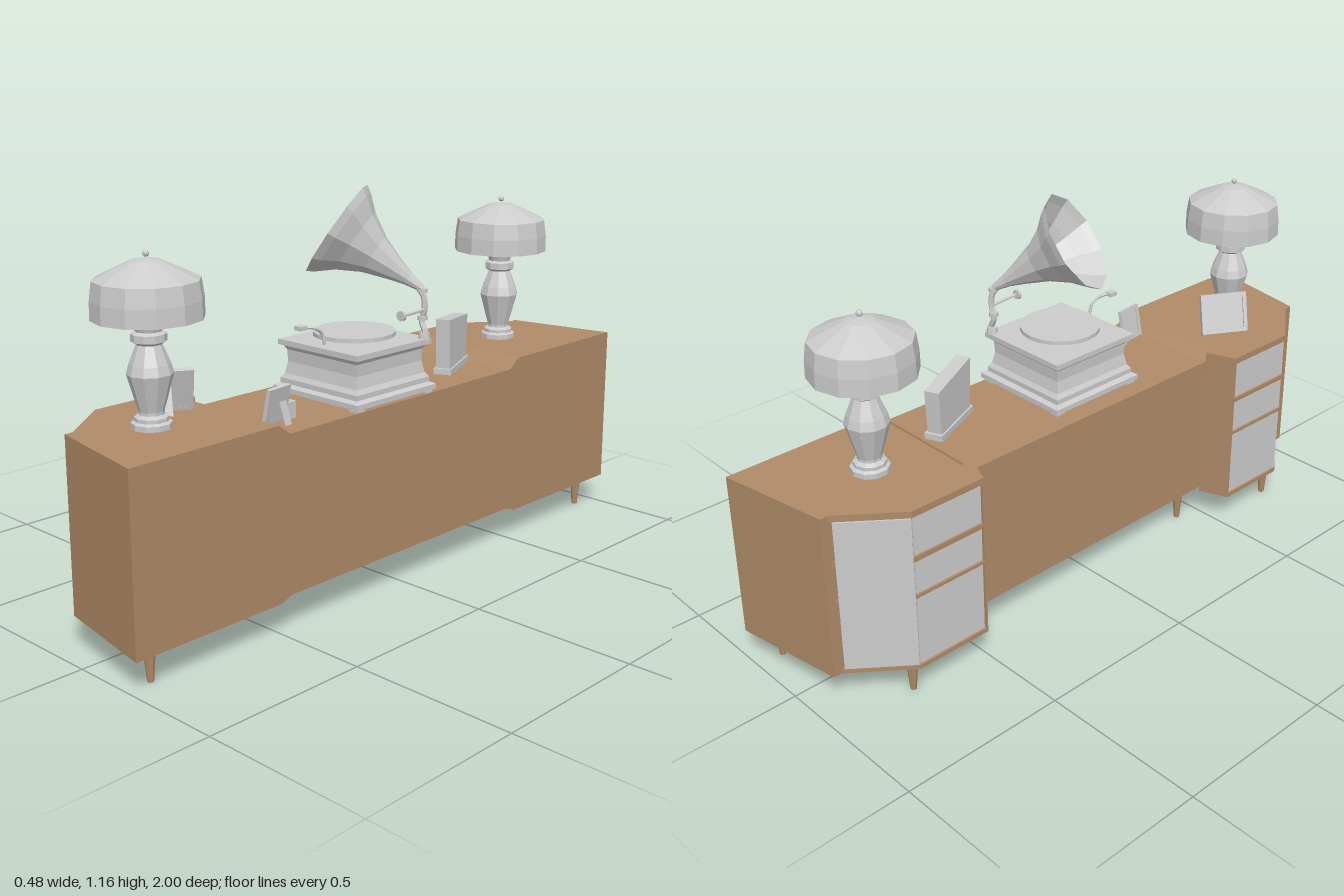
import * as THREE from 'three';

const wood = new THREE.MeshStandardMaterial({ color: 0xaf8b68, flatShading: true });
const grey = new THREE.MeshStandardMaterial({ color: 0xcccccc, flatShading: true, side: THREE.DoubleSide });

function add(parent, name, geometry, material, x = 0, y = 0, z = 0) {
  const mesh = new THREE.Mesh(geometry, material);
  mesh.name = name;
  mesh.position.set(x, y, z);
  parent.add(mesh);
  return mesh;
}

const lathe = (pts, sides, phi = 0) =>
  new THREE.LatheGeometry(pts.map(([r, y]) => new THREE.Vector2(r, y)), sides, phi);

function tube(pts, radius, segments = 12) {
  const curve = new THREE.CatmullRomCurve3(pts.map(p => new THREE.Vector3(...p)));
  return new THREE.TubeGeometry(curve, segments, radius, 6);
}

// Horizontal board: outline of [x, z] points raised from y0 to y1
function board(outline, y0, y1) {
  const shape = new THREE.Shape(outline.map(([x, z]) => new THREE.Vector2(x, -z)));
  const g = new THREE.ExtrudeGeometry(shape, { depth: y1 - y0, bevelEnabled: false });
  return g.rotateX(-Math.PI / 2).translate(0, y0, 0);
}

// Upright panel standing between two [x, z] points
function panel(parent, name, a, b, y0, y1, thick, mat) {
  const dx = b[0] - a[0], dz = b[1] - a[1];
  const m = add(parent, name, new THREE.BoxGeometry(Math.hypot(dx, dz), y1 - y0, thick), mat,
    (a[0] + b[0]) / 2, (y0 + y1) / 2, (a[1] + b[1]) / 2);
  m.rotation.y = Math.atan2(-dz, dx);
}

function createPedestal(s) {
  const g = new THREE.Group();
  g.name = 'pedestal';
  const flip = pts => pts.map(([x, z]) => [x, z * s]);
  const outer = flip([[0.23, 1], [-0.11, 0.94], [-0.11, 0.915], [-0.24, 0.75], [-0.24, 0.51], [-0.15, 0.475], [-0.15, 0.51], [0.23, 0.51]]);
  const inner = flip([[0.23, 1], [-0.11, 0.94], [-0.11, 0.902], [-0.232, 0.747], [-0.232, 0.515], [-0.24, 0.515], [-0.24, 0.51], [-0.15, 0.475], [-0.15, 0.51], [0.23, 0.51]]);
  add(g, 'pedestalCore', board(inner, 0.1, 0.59), wood);
  // top, bottom and dividing rails
  for (const [y0, y1] of [[0.575, 0.595], [0.44, 0.455], [0.325, 0.335], [0.095, 0.108]])
    add(g, 'rail', board(outer, y0, y1), wood);
  // drawer fronts on the straight and the slanted face
  for (const [y0, y1] of [[0.458, 0.572], [0.338, 0.437], [0.111, 0.322]]) {
    panel(g, 'drawerFront', [-0.233, 0.52 * s], [-0.233, 0.747 * s], y0, y1, 0.008, grey);
    if (s > 0) panel(g, 'slantedDrawerFront', [-0.232, 0.75], [-0.112, 0.903], y0, y1, 0.008, grey);
  }
  if (s < 0) panel(g, 'slantedFront', [-0.235, -0.749], [-0.112, -0.906], 0.11, 0.573, 0.012, grey);
  return g;
}

function createDesk() {
  const g = new THREE.Group();
  g.name = 'desk';
  g.add(createPedestal(1), createPedestal(-1));
  // middle part, lower on top and higher below, with sloped ends
  const side = new THREE.Shape([[-0.51, 0.095], [-0.47, 0.11], [0.47, 0.11], [0.51, 0.095],
    [0.51, 0.595], [0.47, 0.565], [-0.47, 0.565], [-0.51, 0.595]].map(p => new THREE.Vector2(...p)));
  const middle = new THREE.ExtrudeGeometry(side, { depth: 0.38, bevelEnabled: false });
  add(g, 'deskMiddle', middle.rotateY(-Math.PI / 2), wood, 0.23);
  for (const s of [1, -1])
    for (const [x, z, h] of [[0.18, 0.92, 0.097], [-0.195, 0.745, 0.097], [-0.105, 0.42, 0.112]])
      add(g, 'leg', new THREE.CylinderGeometry(0.026 * 0.65, 0.009, h, 8), wood, x, h / 2, z * s);
  return g;
}

function createLamp(z) {
  const g = new THREE.Group();
  g.name = 'lamp';
  add(g, 'lampBase', lathe([[0, 0], [0.055, 0], [0.055, 0.015], [0.046, 0.02], [0.046, 0.03], [0.034, 0.037],
    [0.034, 0.045], [0.062, 0.145], [0.055, 0.17], [0.034, 0.222], [0.047, 0.23], [0.047, 0.25],
    [0.035, 0.256], [0.04, 0.272], [0.028, 0.29], [0.01, 0.295], [0.006, 0.44]], 10), grey);
  add(g, 'lampShade', lathe([[0.148, 0.29], [0.147, 0.34], [0.14, 0.39], [0.112, 0.404], [0.04, 0.438], [0, 0.445]], 12), grey);
  add(g, 'finial', new THREE.SphereGeometry(0.009, 8, 6), grey, 0, 0.455);
  g.position.set(0, 0.595, z);
  return g;
}

function createGramophone() {
  const g = new THREE.Group();
  g.name = 'gramophone';
  const q = Math.SQRT2;
  // square cabinet with hollowed sides
  const cabinet = [[0, 0.575], [0.167, 0.575], [0.167, 0.59], [0.152, 0.597], [0.152, 0.612], [0.143, 0.625],
    [0.136, 0.66], [0.138, 0.695], [0.146, 0.708], [0.156, 0.71], [0.156, 0.726], [0, 0.726]];
  add(g, 'cabinet', lathe(cabinet.map(([r, y]) => [r * q, y]), 4, Math.PI / 4), grey, 0.068, 0, 0.055);
  for (const sx of [-1, 1]) for (const sz of [-1, 1])
    add(g, 'foot', new THREE.BoxGeometry(0.03, 0.012, 0.03), grey, 0.068 + sx * 0.145, 0.571, 0.055 + sz * 0.145);
  add(g, 'turntable', new THREE.CylinderGeometry(0.12, 0.12, 0.012, 20), grey, 0.07, 0.746, 0.06);
  add(g, 'spindle', new THREE.CylinderGeometry(0.02, 0.02, 0.03, 8), grey, 0.07, 0.733, 0.06);
  // cranked handle at the side
  add(g, 'crank', tube([[0.085, 0.735, 0.195], [0.082, 0.77, 0.205], [0.08, 0.785, 0.23], [0.07, 0.79, 0.26]], 0.005), grey);
  add(g, 'crankKnob', new THREE.BoxGeometry(0.026, 0.012, 0.026), grey, 0.065, 0.79, 0.268);
  // bent neck carrying the horn
  add(g, 'neck', tube([[0.21, 0.715, -0.085], [0.213, 0.745, -0.085], [0.2, 0.775, -0.085], [0.21, 0.81, -0.085],
    [0.207, 0.85, -0.083], [0.19, 0.88, -0.07]], 0.009, 18), grey);
  add(g, 'neckFoot', new THREE.CylinderGeometry(0.015, 0.018, 0.02, 8), grey, 0.21, 0.733, -0.085);
  for (const y of [0.785, 0.865])
    add(g, 'neckRing', new THREE.CylinderGeometry(0.014, 0.014, 0.012, 8), grey, 0.204, y, -0.083);
  add(g, 'soundArm', tube([[0.21, 0.81, -0.085], [0.218, 0.81, -0.03], [0.222, 0.81, 0.025]], 0.005), grey);
  const box = add(g, 'soundBox', new THREE.CylinderGeometry(0.015, 0.015, 0.01, 10), grey, 0.222, 0.81, 0.027);
  box.rotation.x = Math.PI / 2;
  const horn = add(g, 'horn', lathe([[0.01, -0.01], [0.02, 0.04], [0.036, 0.09], [0.062, 0.16], [0.1, 0.225],
    [0.138, 0.268], [0.152, 0.29]], 10), grey, 0.197, 0.875, -0.077);
  horn.quaternion.setFromUnitVectors(new THREE.Vector3(0, 1, 0), new THREE.Vector3(-0.7, 0.56, 0.45).normalize());
  return g;
}

// Leaning picture frame with a raised border; local +z is its face
function createFrame(w, h, t, x, y, z, yaw, lean) {
  const g = new THREE.Group();
  g.name = 'pictureFrame';
  const shape = new THREE.Shape();
  const rect = (p, a, b, c, d) => p.moveTo(a, b).lineTo(c, b).lineTo(c, d).lineTo(a, d).closePath();
  rect(shape, -w / 2, 0, w / 2, h);
  const b = 0.012, hole = new THREE.Path();
  rect(hole, -w / 2 + b, b, w / 2 - b, h - b);
  shape.holes.push(hole);
  const tilt = new THREE.Group();
  tilt.name = 'frameBody';
  tilt.rotation.x = -lean;
  add(tilt, 'frameBorder', new THREE.ExtrudeGeometry(shape, { depth: t, bevelEnabled: false }), grey, 0, 0, -t / 2);
  add(tilt, 'picture', new THREE.BoxGeometry(w - b, h - b, t * 0.6), grey, 0, h / 2, -t * 0.15);
  g.add(tilt);
  const prop = add(g, 'frameProp', new THREE.BoxGeometry(0.025, h * 0.65, 0.004), grey, 0, h * 0.3, -h * 0.4);
  prop.rotation.x = 0.3;
  g.position.set(x, y, z);
  g.rotation.y = yaw;
  return g;
}

function createClock() {
  const g = new THREE.Group();
  g.name = 'mantelClock';
  add(g, 'clockPlinth', new THREE.BoxGeometry(0.2, 0.018, 0.055), grey, 0, 0.009);
  // body with a sloping top
  const s = new THREE.Shape([[-0.09, 0], [0.09, 0], [0.1, 0.155], [-0.1, 0.135]].map(p => new THREE.Vector2(...p)));
  add(g, 'clockBody', new THREE.ExtrudeGeometry(s, { depth: 0.044, bevelEnabled: false }), grey, 0, 0.016, -0.022);
  g.position.set(0.085, 0.567, -0.36);
  g.rotation.y = -1.15;
  return g;
}

export function createModel() {
  const model = new THREE.Group();
  model.name = 'deskWithGramophone';
  model.add(createDesk(), createLamp(0.745), createLamp(-0.7), createGramophone(), createClock());
  model.add(createFrame(0.15, 0.125, 0.016, -0.095, 0.597, 0.625, -2.1, 0.3));
  model.add(createFrame(0.088, 0.102, 0.012, 0.122, 0.567, 0.428, -1.45, 0.2));
  add(model, 'smallBox', new THREE.BoxGeometry(0.03, 0.048, 0.03), grey, 0.118, 0.589, 0.37);
  return model;
}
